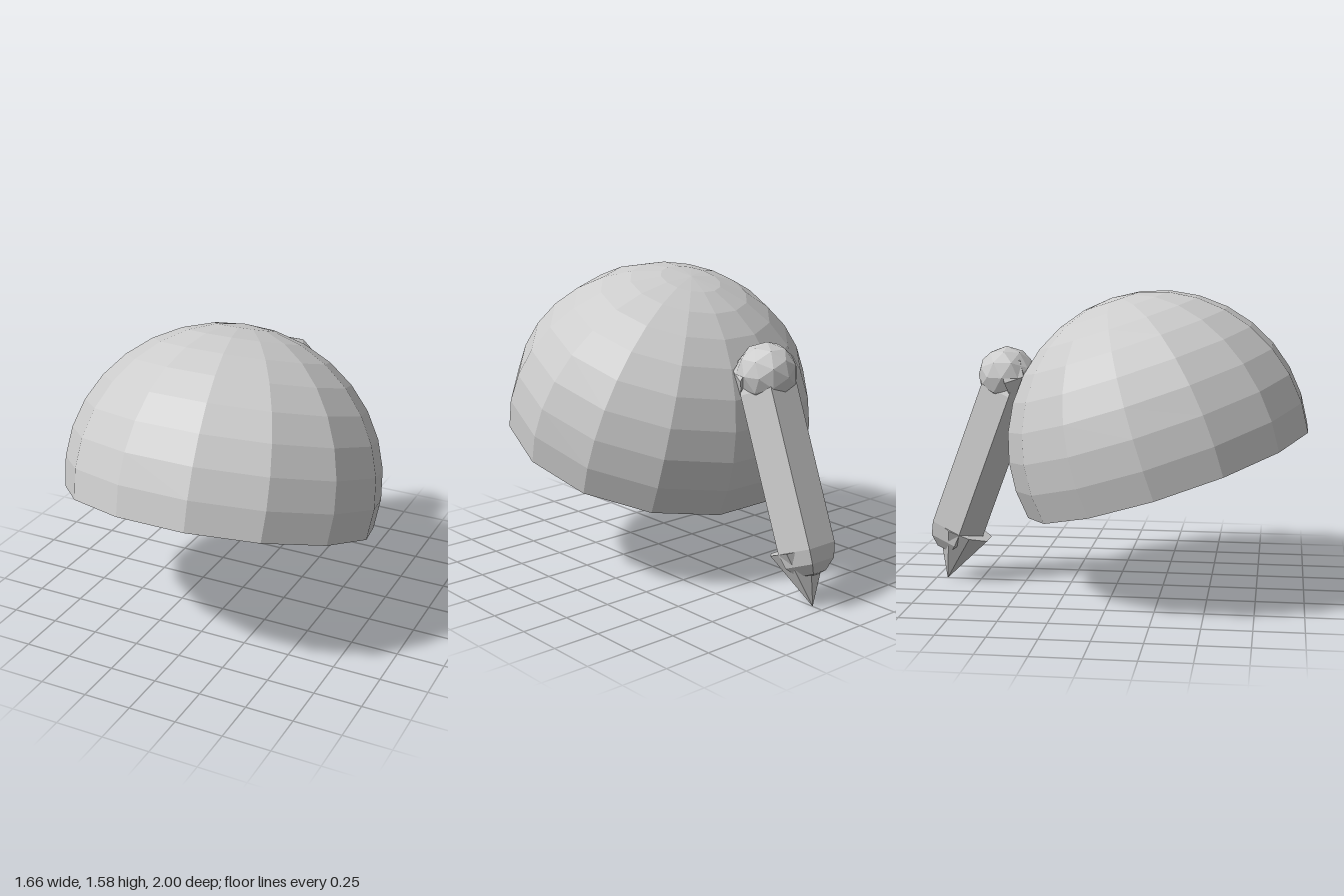
import * as THREE from 'three';

const grey = new THREE.MeshStandardMaterial({ color: 0xcccccc, flatShading: true, side: THREE.DoubleSide });
grey.name = 'grey';

export function createModel() {
  const model = new THREE.Group();
  model.name = 'domeWithArm';

  // Every part lies on the centre plane and only tips about x
  const add = (name, geometry, y, z, tilt = 0) => {
    const mesh = new THREE.Mesh(geometry, grey);
    mesh.name = name;
    mesh.position.set(0, y, z);
    mesh.rotation.x = tilt;
    model.add(mesh);
    return mesh;
  };

  // Open dome, a little more than a half ball, tipped back
  const shell = new THREE.SphereGeometry(1, 14, 9, 0, Math.PI * 2, 0, Math.PI * 9 / 16);
  shell.scale(0.83, 0.8, 0.8);
  add('dome', shell, 0.795, 0.226, -0.323);

  // Five-sided arm with rounded ends and one edge facing forward
  const tilt = 0.357, length = 0.8;
  const limb = new THREE.CapsuleGeometry(0.15, length, 3, 5);
  limb.rotateY(Math.PI / 2);
  const endY = 0.306, endZ = -0.878;
  add('arm', limb, endY + Math.cos(tilt) * length / 2, endZ + Math.sin(tilt) * length / 2, tilt);

  // Ball joint and the short collar joining it to the dome
  add('ballJoint', new THREE.IcosahedronGeometry(0.155, 1), 1.14, -0.59);
  add('jointCollar', new THREE.CylinderGeometry(0.12, 0.162, 0.1, 8), 1.13, -0.525, 1.26);

  // Eight-sided spike pointing down from the arm
  const spike = new THREE.ConeGeometry(0.155, 0.295, 8);
  spike.rotateY(Math.PI / 8);
  spike.rotateX(Math.PI);
  add('spike', spike, 0.289 - 0.1475 * Math.cos(tilt), -0.836 - 0.1475 * Math.sin(tilt), tilt);

  return model;
}
